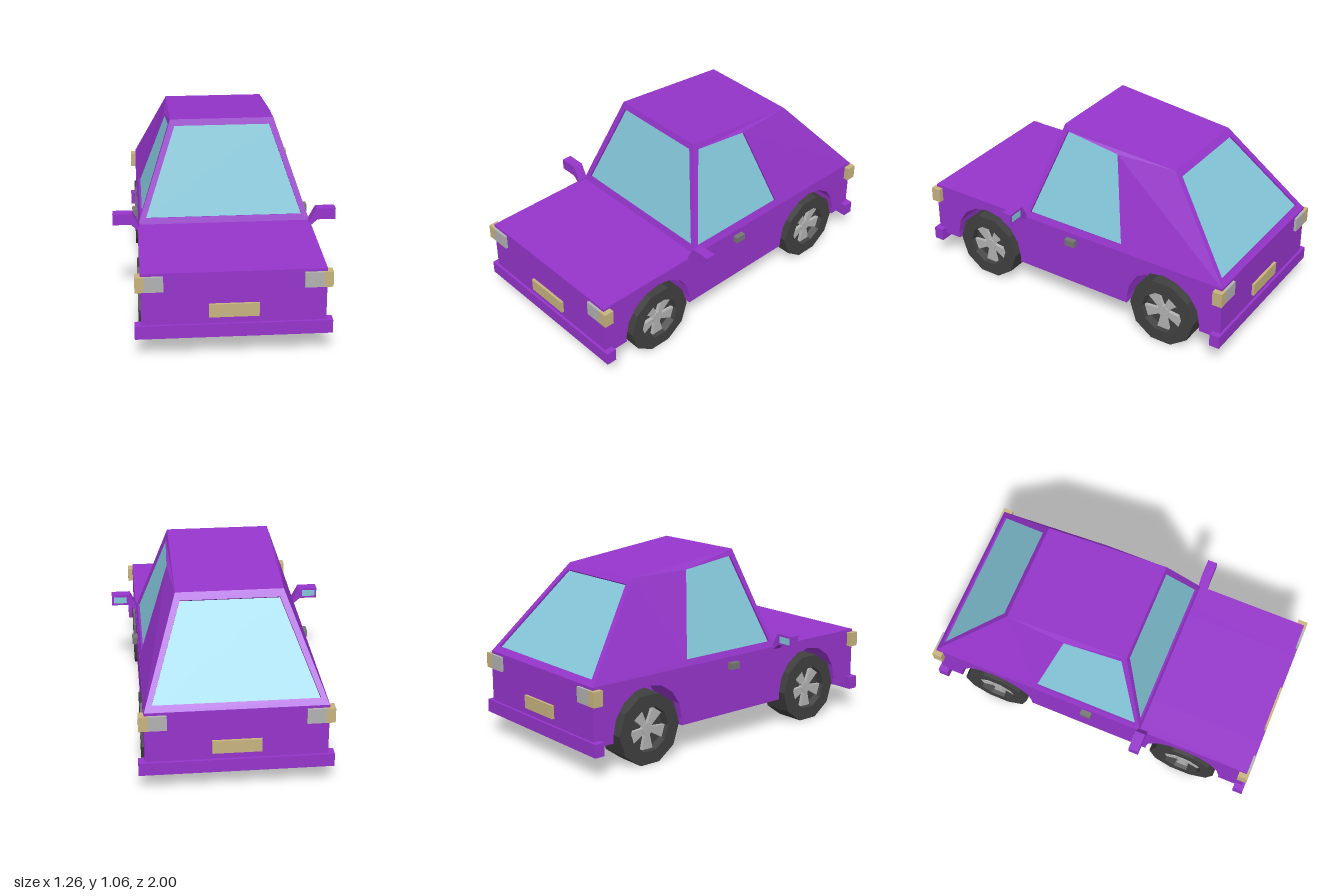
import * as THREE from 'three';

const mat = (color) => new THREE.MeshStandardMaterial({ color, flatShading: true });
const paint = mat(0x9635cc), glass = mat(0x84c7da), amber = mat(0xc8b47f);
const silver = mat(0xb3b3b3), rubber = mat(0x404040), grey = mat(0x777777);

function add(parent, name, geometry, material, x = 0, y = 0, z = 0) {
  const mesh = new THREE.Mesh(geometry, material);
  mesh.name = name;
  mesh.position.set(x, y, z);
  parent.add(mesh);
  return mesh;
}

// Box given by its min and max along each axis
function block(parent, name, material, [x0, x1], [y0, y1], [z0, z1]) {
  return add(parent, name, new THREE.BoxGeometry(x1 - x0, y1 - y0, z1 - z0), material,
    (x0 + x1) / 2, (y0 + y1) / 2, (z0 + z1) / 2);
}

// Quads with corners counter-clockwise seen from outside
function quads(list) {
  const pos = [];
  for (const [a, b, c, d] of list) for (const p of [a, b, c, a, c, d]) pos.push(...p);
  const g = new THREE.BufferGeometry();
  g.setAttribute('position', new THREE.Float32BufferAttribute(pos, 3));
  g.computeVertexNormals();
  return g;
}

// Cabin wall with a recessed window
function windowPanel(parent, name, outer, inner) {
  const v = inner.map((p) => new THREE.Vector3(...p));
  const n = v[1].clone().sub(v[0]).cross(v[2].clone().sub(v[0])).normalize();
  const deep = v.map((p) => p.clone().addScaledVector(n, -0.012).toArray());
  const faces = [];
  for (let i = 0; i < 4; i++) {
    const j = (i + 1) % 4;
    faces.push([outer[i], outer[j], inner[j], inner[i]]);
    faces.push([inner[i], inner[j], deep[j], deep[i]]);
  }
  add(parent, name + 'Frame', quads(faces), paint);
  add(parent, name + 'Glass', quads([deep]), glass);
}

function buildCabin() {
  const cabin = new THREE.Group();
  cabin.name = 'cabin';
  const flip = (pts) => pts.map(([x, y, z]) => [-x, y, z]).reverse();
  // Left half corners: base and roof, front and back
  const bf = [0.488, 0.495, 0.32], bb = [0.488, 0.495, -0.983];
  const rf = [0.293, 1.063, 0.155], rb = [0.293, 0.986, -0.565];
  const m = ([x, y, z]) => [-x, y, z];
  add(cabin, 'roof', quads([[m(rf), rf, rb, m(rb)]]), paint);
  windowPanel(cabin, 'windshield', [m(bf), bf, rf, m(rf)],
    [[-0.443, 0.53, 0.31], [0.443, 0.53, 0.31], [0.27, 1.027, 0.165], [-0.27, 1.027, 0.165]]);
  windowPanel(cabin, 'rearWindow', [bb, m(bb), m(rb), rb],
    [[0.445, 0.525, -0.957], [-0.445, 0.525, -0.957], [-0.27, 0.951, -0.595], [0.27, 0.951, -0.595]]);
  const sideX = (y) => 0.488 - (y - 0.495) * 0.343;
  const outer = [bf, bb, rb, rf];
  const inner = [[0.53, 0.287], [0.53, -0.337], [0.99, -0.21], [1.027, 0.13]]
    .map(([y, z]) => [sideX(y), y, z]);
  windowPanel(cabin, 'leftWindow', outer, inner);
  windowPanel(cabin, 'rightWindow', flip(outer), flip(inner));
  return cabin;
}

// Lower body: a core box and two side slabs with wheel arches cut out
function buildBody(axles) {
  const body = new THREE.Group();
  body.name = 'body';
  block(body, 'bodyCore', paint, [-0.29, 0.29], [0.165, 0.495], [-0.985, 0.985]);
  const side = new THREE.Shape();
  side.moveTo(-0.985, 0.495);
  side.lineTo(-0.985, 0.165);
  for (const z of [...axles].sort((a, b) => a - b)) {
    side.lineTo(z - 0.235, 0.165);
    for (let i = 0; i <= 8; i++) {
      const a = Math.PI * (1 - i / 8);
      side.lineTo(z + 0.235 * Math.cos(a), 0.205 + 0.235 * Math.sin(a));
    }
    side.lineTo(z + 0.235, 0.165);
  }
  side.lineTo(0.985, 0.165);
  side.lineTo(0.985, 0.495);
  const slab = new THREE.ExtrudeGeometry(side, { depth: 0.2, bevelEnabled: false });
  slab.rotateY(-Math.PI / 2);
  add(body, 'leftSide', slab, paint, 0.49);
  add(body, 'rightSide', slab, paint, -0.29);
  return body;
}

// Ten-sided wheel with a dished five-spoke rim facing +x
function buildWheel() {
  const wheel = new THREE.Group();
  const profile = [[0, -0.088], [0.204, -0.088], [0.204, 0.088], [0.128, 0.088], [0.12, 0.045], [0, 0.045]];
  const tire = new THREE.LatheGeometry(profile.map(([r, y]) => new THREE.Vector2(r, y)), 10);
  tire.rotateZ(-Math.PI / 2);
  add(wheel, 'tire', tire, rubber);
  const hub = new THREE.CylinderGeometry(0.036, 0.036, 0.025, 10).rotateZ(-Math.PI / 2);
  add(wheel, 'hub', hub, silver, 0.057);
  const spokeShape = new THREE.Shape([[-0.014, -0.02], [0.014, -0.02], [0.036, -0.116], [-0.036, -0.116]]
    .map(([x, y]) => new THREE.Vector2(x, y)));
  const spoke = new THREE.ExtrudeGeometry(spokeShape, { depth: 0.02, bevelEnabled: false });
  spoke.rotateY(Math.PI / 2);
  for (let i = 0; i < 5; i++) add(wheel, 'spoke', spoke, silver, 0.045).rotation.x = (i * 2 * Math.PI) / 5;
  return wheel;
}

export function createModel() {
  const car = new THREE.Group();
  car.name = 'car';
  const axles = [0.598, -0.62];
  car.add(buildBody(axles), buildCabin());

  // Wheels
  for (const z of axles) for (const s of [1, -1]) {
    const wheel = buildWheel();
    wheel.name = (z > 0 ? 'front' : 'rear') + (s > 0 ? 'Left' : 'Right') + 'Wheel';
    wheel.position.set(s * 0.414, 0.195, z);
    if (s < 0) wheel.rotation.y = Math.PI;
    car.add(wheel);
  }

  // Bumpers, plates and lamps at both ends
  const span = (s, a, b) => (s > 0 ? [a, b] : [-b, -a]);
  for (const e of [1, -1]) {
    const end = e > 0 ? 'front' : 'rear';
    block(car, end + 'Bumper', paint, [-0.525, 0.525], [0.125, 0.2], span(e, 0.94, 1));
    block(car, end + 'Plate', amber, [-0.133, 0.133], [0.24, 0.315], span(e, 0.98, 1));
    for (const s of [1, -1]) {
      block(car, end + 'Lamp', silver, span(s, 0.37, 0.47), [0.395, 0.48], span(e, 0.945, 1));
      block(car, end + 'Indicator', amber, span(s, 0.47, 0.52), [0.395, 0.48], span(e, 0.942, 1));
    }
  }

  // Door handles and wing mirrors
  for (const s of [1, -1]) {
    block(car, 'doorHandle', grey, span(s, 0.48, 0.52), [0.425, 0.463], [-0.045, 0.018]);
    const outline = [[0.632, 0.58], [0.522, 0.58], [0.48, 0.5], [0.488, 0.478], [0.53, 0.515], [0.632, 0.515]];
    const shape = new THREE.Shape(outline.map(([x, y]) => new THREE.Vector2(s * x, y)));
    const mirror = new THREE.ExtrudeGeometry(shape, { depth: 0.058, bevelEnabled: false });
    add(car, 'wingMirror', mirror, paint, 0, 0, 0.309);
    block(car, 'mirrorGlass', glass, span(s, 0.542, 0.62), [0.528, 0.567], [0.307, 0.312]);
  }
  return car;
}
